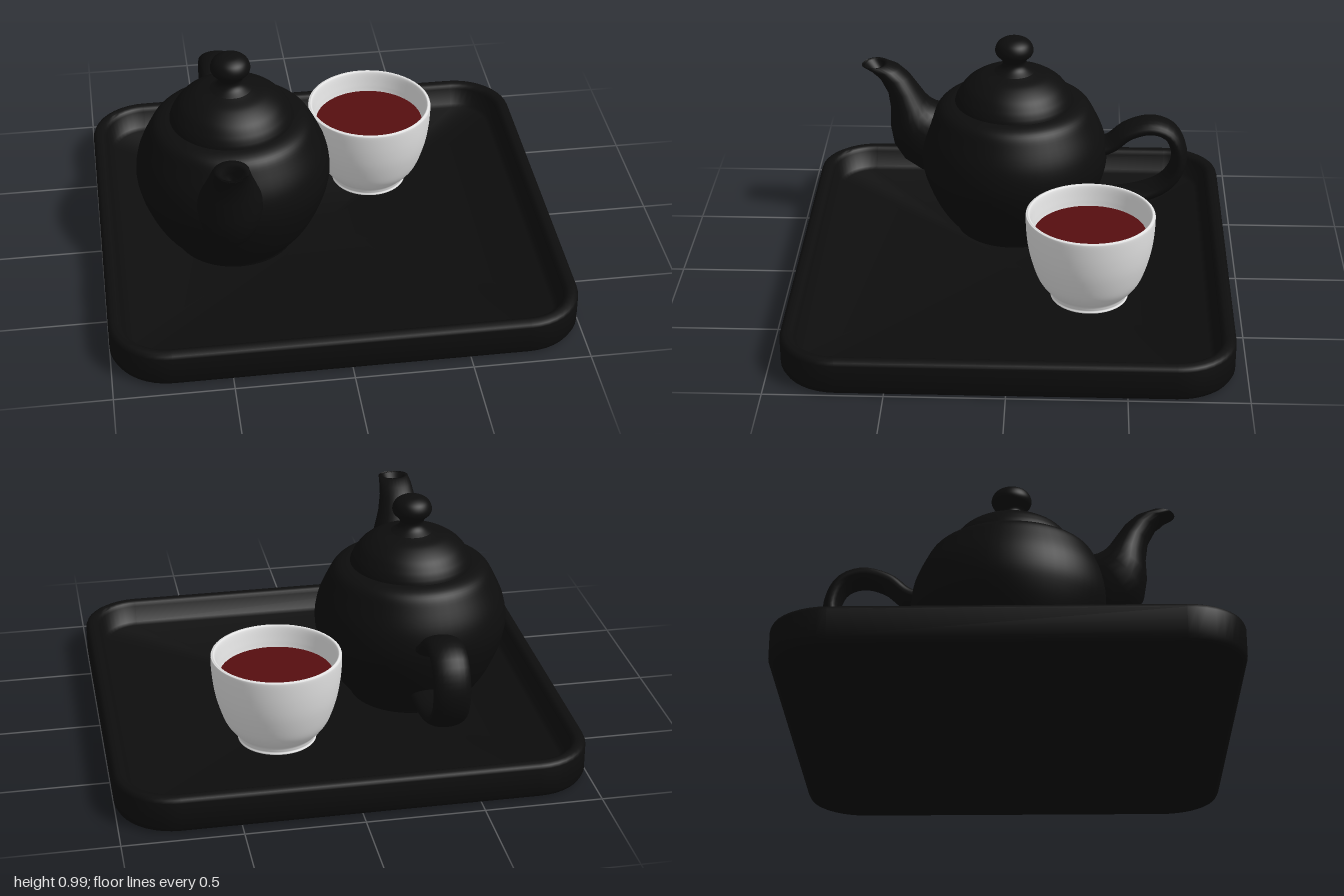
import * as THREE from 'three';
import { toCreasedNormals } from 'three/addons/utils/BufferGeometryUtils.js';

const lacquer = new THREE.MeshStandardMaterial({ color: 0x0d0d0d });
lacquer.name = 'black lacquer';
const porcelain = new THREE.MeshStandardMaterial({ color: 0xe2e2e2 });
porcelain.name = 'white porcelain';
const tea = new THREE.MeshStandardMaterial({ color: 0x560e10 });
tea.name = 'red tea';

function part(name, geometry, material) {
  const mesh = new THREE.Mesh(geometry, material);
  mesh.name = name;
  return mesh;
}

// Skin closed rings of equal point count into one surface
function loft(rings) {
  const n = rings[0].length, pos = [], idx = [];
  rings.forEach(r => r.forEach(p => pos.push(p.x, p.y, p.z)));
  for (let i = 0; i < rings.length - 1; i++) {
    for (let j = 0; j < n; j++) {
      const k = (j + 1) % n, a = i * n + j, b = i * n + k;
      idx.push(a, b, b + n, a, b + n, a + n);
    }
  }
  const g = new THREE.BufferGeometry();
  g.setAttribute('position', new THREE.Float32BufferAttribute(pos, 3));
  g.setIndex(idx);
  g.computeVertexNormals();
  return g;
}

// Ellipse ring: half width along x, half depth along the vector v
function ellipseRing(centre, halfWidth, v, n = 28) {
  return Array.from({ length: n }, (_, j) => {
    const t = j / n * Math.PI * 2;
    return centre.clone().addScaledVector(v, Math.sin(t))
      .add(new THREE.Vector3(halfWidth * Math.cos(t), 0, 0));
  });
}

// Smoothed turned shape from [radius, height] points
function turned(points, steps = 48) {
  const curve = new THREE.SplineCurve(points.map(p => new THREE.Vector2(...p)));
  const profile = curve.getPoints(steps);
  profile.forEach(p => { p.x = Math.max(p.x, 0); });
  return new THREE.LatheGeometry(profile, 56);
}

// Rounded rectangle ring, counterclockwise from above
function trayRing(inset, y) {
  const ring = [], r = Math.max(0.25 - inset, 0), steps = 10;
  const hx = Math.max(1 - inset, 0), hz = Math.max(0.95 - inset, 0);
  [[1, -1], [-1, -1], [-1, 1], [1, 1]].forEach(([sx, sz], q) => {
    for (let i = 0; i <= steps; i++) {
      const t = (q + i / steps) * Math.PI / 2;
      ring.push(new THREE.Vector3(sx * (hx - r) + r * Math.cos(t), y, sz * (hz - r) - r * Math.sin(t)));
    }
  });
  return ring;
}

function makeTray() {
  const profile = [[1, 0], [0.03, 0], [0.01, 0.007], [0, 0.025], [0, 0.14], [0.005, 0.153], [0.017, 0.16],
    [0.04, 0.16], [0.052, 0.154], [0.06, 0.14], [0.085, 0.07], [0.105, 0.06], [1, 0.06]];
  return part('tray', toCreasedNormals(loft(profile.map(p => trayRing(...p))), 0.8), lacquer);
}

function makeSpout() {
  // outer z, outer y, inner z, inner y, half width
  const sections = [
    [0.36, 0.27, 0.20, 0.60, 0.09], [0.44, 0.305, 0.27, 0.62, 0.115], [0.52, 0.365, 0.33, 0.63, 0.133],
    [0.565, 0.44, 0.365, 0.635, 0.138], [0.58, 0.53, 0.39, 0.645, 0.134], [0.577, 0.62, 0.415, 0.668, 0.117],
    [0.588, 0.70, 0.45, 0.72, 0.095], [0.625, 0.77, 0.487, 0.775, 0.08], [0.665, 0.807, 0.53, 0.815, 0.074],
    [0.705, 0.828, 0.585, 0.837, 0.068], [0.69, 0.826, 0.603, 0.832, 0.05],
    [0.645, 0.78, 0.58, 0.785, 0.035], [0.59, 0.74, 0.59, 0.74, 0]];
  const rings = sections.map(([oz, oy, iz, iy, w]) => ellipseRing(
    new THREE.Vector3(-0.455, (oy + iy) / 2, (oz + iz) / 2), w,
    new THREE.Vector3(0, (iy - oy) / 2, (iz - oz) / 2)));
  return part('spout', loft(rings), lacquer);
}

function makeHandle() {
  const path = new THREE.CatmullRomCurve3([
    [-0.34, 0.44], [-0.43, 0.47], [-0.51, 0.535], [-0.62, 0.565], [-0.705, 0.53], [-0.747, 0.43],
    [-0.733, 0.34], [-0.68, 0.27], [-0.60, 0.228], [-0.48, 0.2], [-0.33, 0.2]
  ].map(([z, y]) => new THREE.Vector3(-0.41, y, z)));
  const rings = [];
  for (let i = 0; i <= 40; i++) {
    const t = path.getTangentAt(i / 40);
    rings.push(ellipseRing(path.getPointAt(i / 40), 0.08, new THREE.Vector3(0, t.z, -t.y).multiplyScalar(0.037), 20));
  }
  return part('handle', loft(rings), lacquer);
}

function makeTeapot() {
  const pot = new THREE.Group();
  pot.name = 'teapot';
  const turnedParts = {
    potBody: [[0, 0.06], [0.24, 0.06], [0.275, 0.085], [0.338, 0.165], [0.385, 0.26], [0.415, 0.35], [0.425, 0.43],
      [0.41, 0.52], [0.37, 0.61], [0.34, 0.66], [0.30, 0.682], [0.25, 0.69]],
    lid: [[0.27, 0.685], [0.264, 0.705], [0.248, 0.735], [0.215, 0.775], [0.16, 0.81], [0.10, 0.828], [0.04, 0.845]],
    knob: [[0.10, 0.825], [0.065, 0.848], [0.052, 0.872], [0.06, 0.893], [0.081, 0.915], [0.086, 0.94],
      [0.072, 0.97], [0.04, 0.989], [0, 0.994]]
  };
  for (const [name, points] of Object.entries(turnedParts)) {
    const mesh = part(name, turned(points), lacquer);
    mesh.position.set(-0.4, 0, 0.01);
    pot.add(mesh);
  }
  pot.add(makeSpout(), makeHandle());
  return pot;
}

function makeCup() {
  const cup = new THREE.Group();
  cup.name = 'cup';
  // Outside wall, rolled rim and inside wall in one profile
  cup.add(part('cupShell', turned([[0, 0.06], [0.155, 0.06], [0.165, 0.075], [0.172, 0.095], [0.2, 0.125],
    [0.23, 0.175], [0.26, 0.27], [0.275, 0.36], [0.28, 0.45], [0.274, 0.463], [0.262, 0.458], [0.25, 0.40],
    [0.24, 0.35], [0.2, 0.2], [0, 0.13]], 80), porcelain));
  const surface = part('teaSurface', new THREE.CircleGeometry(0.243, 56), tea);
  surface.rotation.x = -Math.PI / 2;
  surface.position.y = 0.37;
  cup.add(surface);
  cup.position.set(0.26, 0, -0.34);
  return cup;
}

export function createModel() {
  const model = new THREE.Group();
  model.name = 'teaSet';
  model.add(makeTray(), makeTeapot(), makeCup());
  return model;
}
